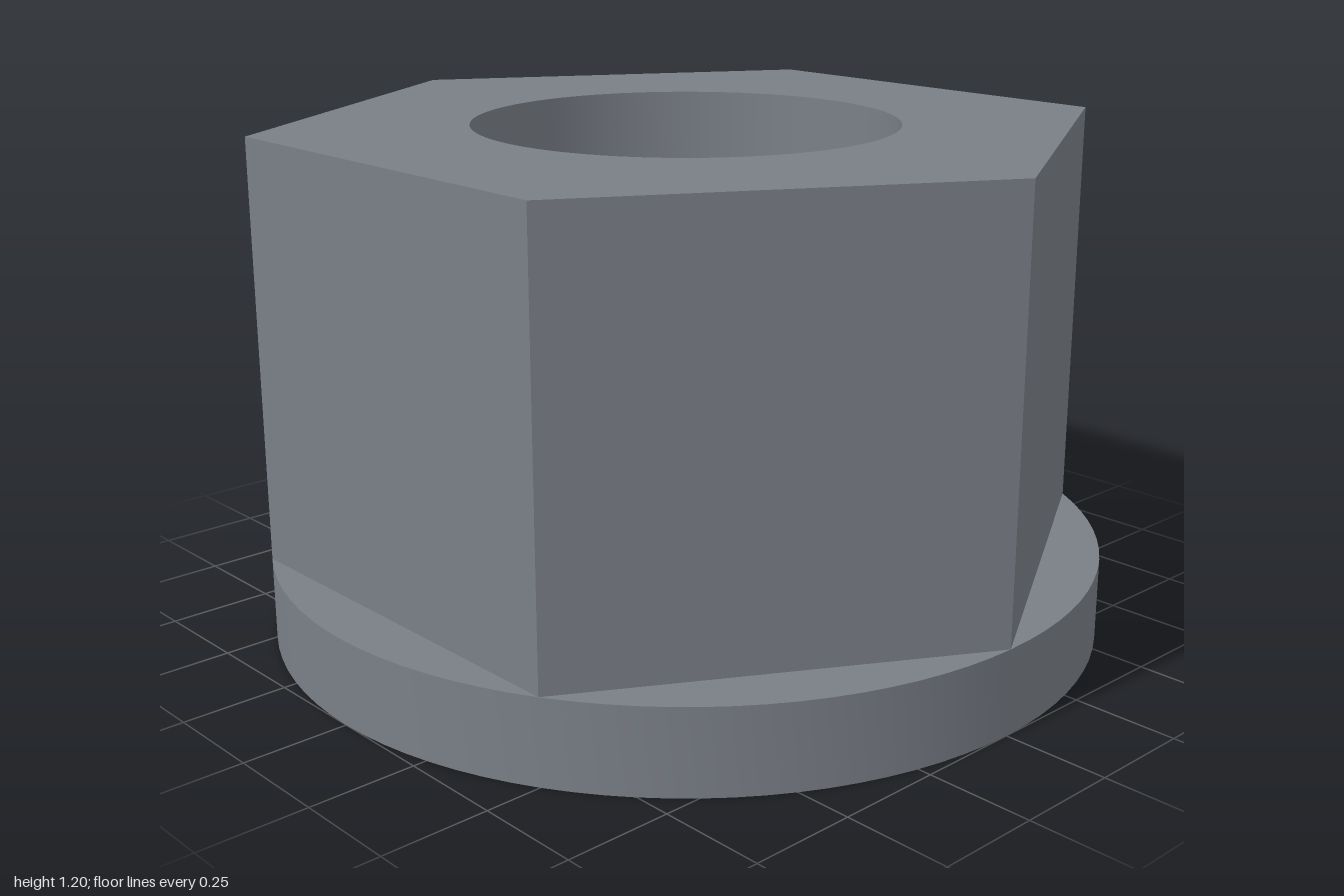
import * as THREE from 'three';
import { toCreasedNormals } from 'three/addons/utils/BufferGeometryUtils.js';

const RADIUS = 1, BORE = 0.5, FLANGE_HEIGHT = 0.2, HEX_HEIGHT = 1.0;

// Extrudes an outline upward from height y, with the round bore cut through it
function boredPrism(name, outline, y, height, material) {
  outline.holes.push(new THREE.Path().absarc(0, 0, BORE, 0, Math.PI * 2, true));
  const geometry = new THREE.ExtrudeGeometry(outline, {
    depth: height, bevelEnabled: false, curveSegments: 48,
  });
  geometry.rotateX(-Math.PI / 2);
  geometry.translate(0, y, 0);
  const mesh = new THREE.Mesh(toCreasedNormals(geometry, 0.5), material);
  mesh.name = name;
  return mesh;
}

export function createModel() {
  const group = new THREE.Group();
  group.name = 'flangedHexNut';
  // Dark steel grey
  const material = new THREE.MeshStandardMaterial({ color: 0x7a7f87 });

  // Round flange at the base
  const disc = new THREE.Shape().absarc(0, 0, RADIUS, 0, Math.PI * 2, false);
  group.add(boredPrism('flange', disc, 0, FLANGE_HEIGHT, material));

  // Hexagonal body, corners pointing to the front and back
  const corners = Array.from({ length: 6 }, (_, i) => {
    const a = Math.PI / 2 + (i * Math.PI) / 3;
    return new THREE.Vector2(Math.cos(a) * RADIUS, Math.sin(a) * RADIUS);
  });
  group.add(boredPrism('hexBody', new THREE.Shape(corners), FLANGE_HEIGHT, HEX_HEIGHT, material));

  return group;
}
